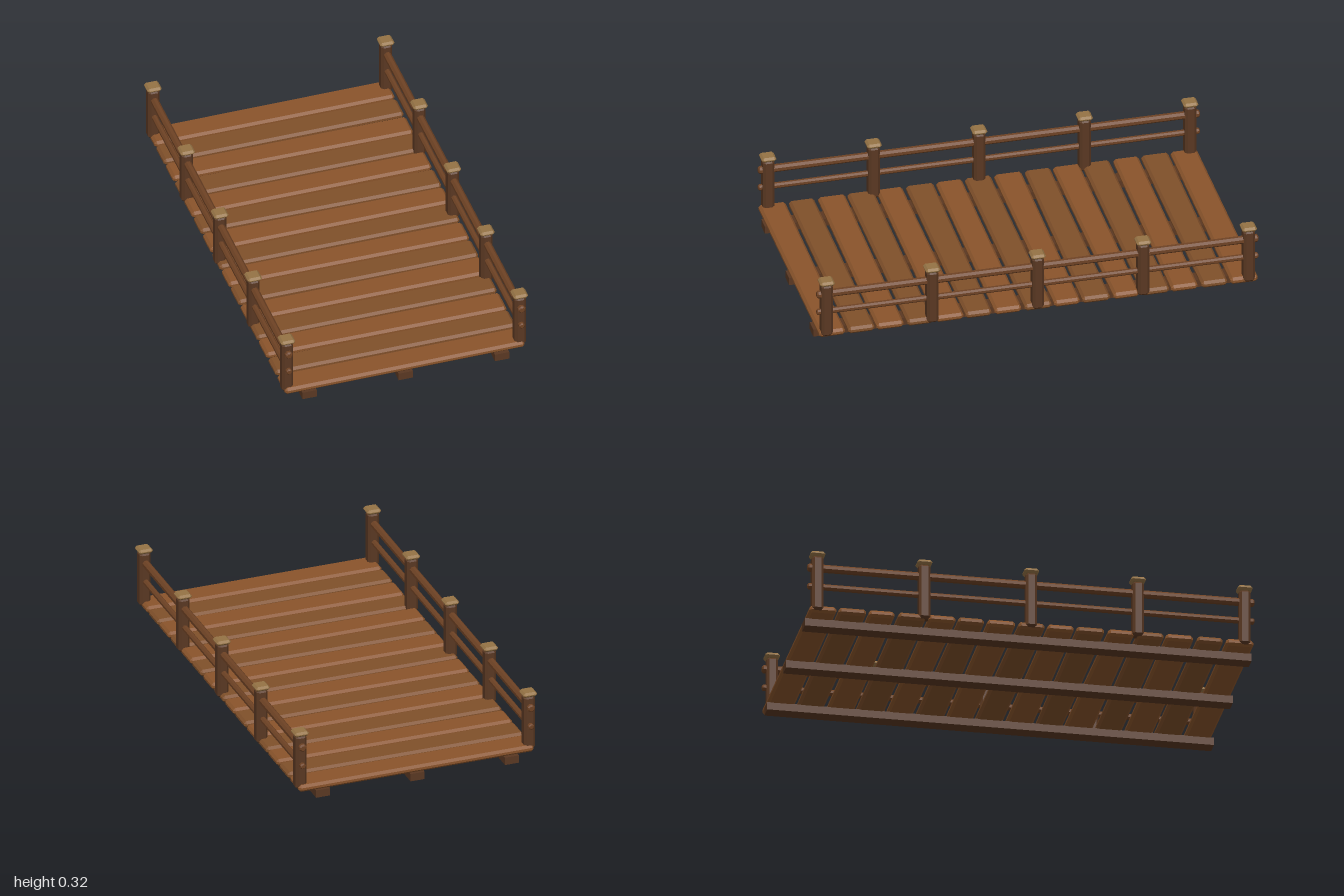
import * as THREE from 'three';
import { ConvexGeometry } from 'three/addons/geometries/ConvexGeometry.js';

const mat = (color) => new THREE.MeshStandardMaterial({ color, flatShading: true });

// Box with chamfered edges; the depth at each x end can be scaled for a rough-sawn taper
function chamferBox(w, h, d, c, taperLeft = 1, taperRight = 1) {
  const points = [];
  for (const sx of [-1, 1]) for (const sy of [-1, 1]) for (const sz of [-1, 1]) {
    const k = sx < 0 ? taperLeft : taperRight;
    for (const [a, b, e] of [[0, c, c], [c, 0, c], [c, c, 0]]) {
      points.push(new THREE.Vector3(sx * (w / 2 - a), sy * (h / 2 - b), sz * (d / 2 * k - e)));
    }
  }
  return new ConvexGeometry(points);
}

// Eight-sided log along z with chamfered ends
function logGeometry(radius, length) {
  const h = length / 2, c = radius * 0.35;
  const profile = [[0, -h], [radius - c, -h], [radius, -h + c], [radius, h - c], [radius - c, h], [0, h]]
    .map(([r, y]) => new THREE.Vector2(r, y));
  return new THREE.LatheGeometry(profile, 8).rotateY(Math.PI / 8).rotateX(Math.PI / 2);
}

export function createModel() {
  const group = new THREE.Group();
  const plankMats = [mat(0x8a542b), mat(0x80502a)];
  const postMat = mat(0x5a3822), railMat = mat(0x6e4224);
  const capMat = mat(0x957345), beamMat = mat(0x5a3822);

  const add = (name, geometry, material, x, y, z) => {
    const mesh = new THREE.Mesh(geometry, material);
    mesh.name = name;
    mesh.position.set(x, y, z);
    group.add(mesh);
    return mesh;
  };

  // Deck planks, each slightly tapered and skewed
  for (let i = 0; i < 15; i++) {
    const left = 0.98 + 0.04 * Math.sin(i * 2.3);
    const right = 0.98 + 0.04 * Math.sin(i * 3.7 + 2);
    const plank = add('plank' + (i + 1), chamferBox(1.11, 0.033, 0.122, 0.011, left, right),
      plankMats[i % 2], 0, 0.051, -0.933 + i * 0.1333);
    plank.rotation.y = 0.004 * Math.sin(i * 1.9 + 1);
  }

  // Beams under the deck
  for (const x of [-0.445, 0, 0.445]) {
    add('beam', new THREE.BoxGeometry(0.066, 0.036, 2), beamMat, x, 0.018, 0);
  }

  // Railings: posts with caps and two logs per side
  const postGeo = chamferBox(0.052, 0.262, 0.052, 0.011);
  const capGeo = chamferBox(0.066, 0.022, 0.066, 0.009);
  const upperGeo = logGeometry(0.018, 2), lowerGeo = logGeometry(0.014, 2);
  for (const side of [-1, 1]) {
    const x = side * 0.538;
    for (let i = -2; i <= 2; i++) {
      add('post', postGeo, postMat, x, 0.174, i * 0.478);
      add('postCap', capGeo, capMat, x, 0.314, i * 0.478);
    }
    add('upperRail', upperGeo, railMat, x, 0.253, 0);
    add('lowerRail', lowerGeo, railMat, x, 0.163, 0);
  }
  return group;
}
